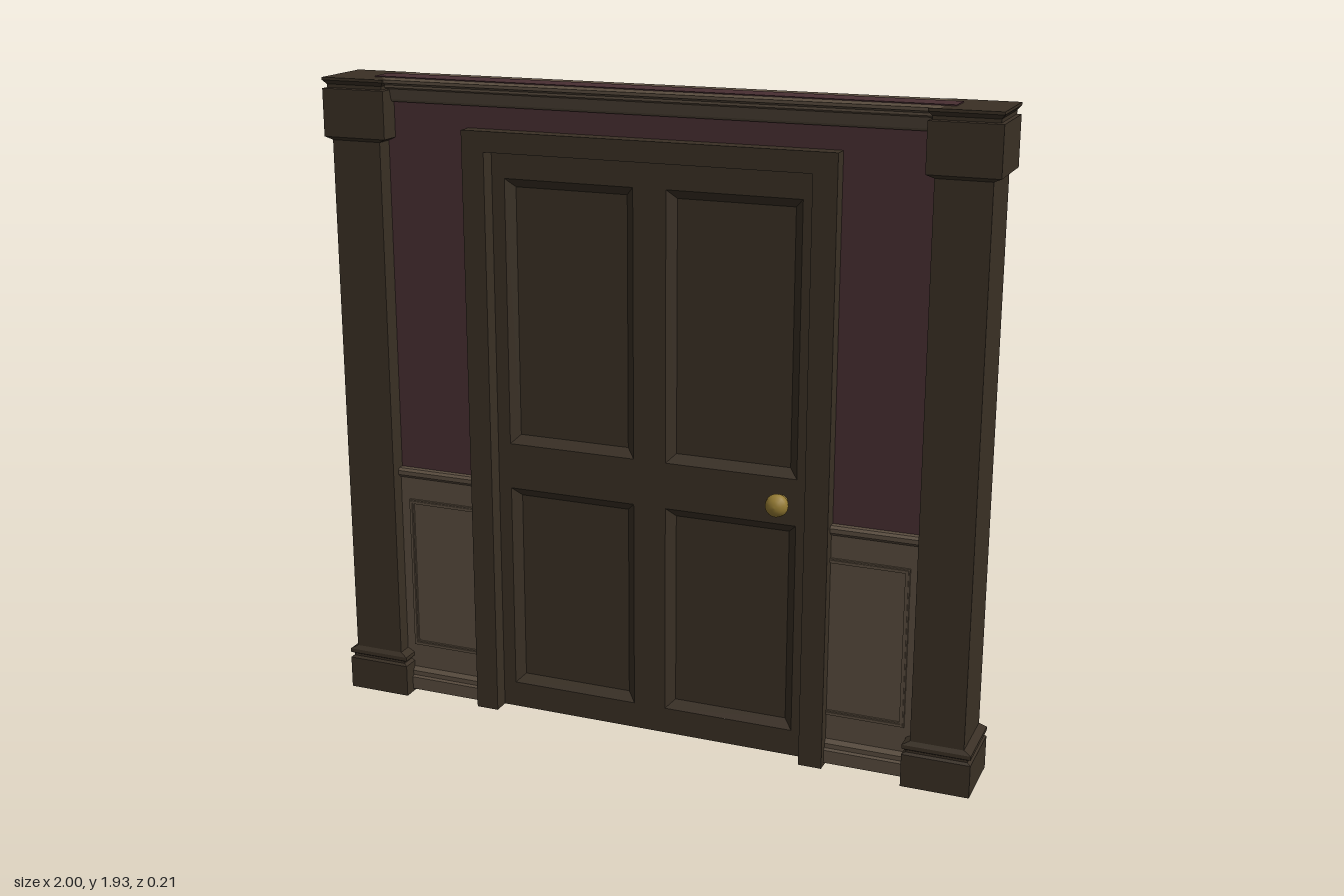
import * as THREE from 'three';

const mat = (color) => new THREE.MeshStandardMaterial({ color, flatShading: true });
const darkWood = mat(0x3a3025);
const paleWood = mat(0x5a4d3f);
const wallPaint = mat(0x482e32);
const brass = new THREE.MeshStandardMaterial({ color: 0x957b33 });

function add(parent, name, geometry, material, x = 0, y = 0, z = 0) {
  const mesh = new THREE.Mesh(geometry, material);
  mesh.name = name;
  mesh.position.set(x, y, z);
  parent.add(mesh);
  return mesh;
}

const toPoints = (pts) => pts.map(([x, y]) => new THREE.Vector2(x, y));
const rect = (x0, y0, x1, y1) => toPoints([[x0, y0], [x1, y0], [x1, y1], [x0, y1]]);

// Flat plate in XY, centred on z = 0, with optional holes
function plate(outline, thickness, holes = []) {
  const shape = new THREE.Shape(outline);
  holes.forEach((h) => shape.holes.push(new THREE.Path(h)));
  return new THREE.ExtrudeGeometry(shape, { depth: thickness, bevelEnabled: false })
    .translate(0, 0, -thickness / 2);
}

// Moulding: [z, y] profile run along x, centred on x = 0
function moulding(profile, length) {
  return plate(toPoints(profile), length).rotateY(-Math.PI / 2);
}

// Rectangular sections [height, half x, half z] joined along y.
// Rising rows face outward; falling rows make a recess.
function rectLoft(rows, bottomCap = true) {
  const pos = [];
  const ring = ([y, hx, hz]) => [[hx, y, hz], [hx, y, -hz], [-hx, y, -hz], [-hx, y, hz]];
  const quad = (a, b, c, d) => pos.push(...a, ...b, ...c, ...a, ...c, ...d);
  for (let r = 0; r < rows.length - 1; r++) {
    const a = ring(rows[r]), b = ring(rows[r + 1]);
    for (let i = 0; i < 4; i++) {
      const j = (i + 1) % 4;
      quad(a[i], a[j], b[j], b[i]);
    }
  }
  quad(...ring(rows[rows.length - 1]));
  if (bottomCap) quad(...ring(rows[0]).reverse());
  const geometry = new THREE.BufferGeometry();
  geometry.setAttribute('position', new THREE.Float32BufferAttribute(pos, 3));
  geometry.computeVertexNormals();
  return geometry;
}

export function createModel() {
  const model = new THREE.Group();
  model.name = 'doorwayWall';

  // Wall with the door opening cut out of its lower edge
  const opening = (w, h, ow, oh) => toPoints([
    [-w, 0], [-ow, 0], [-ow, oh], [ow, oh], [ow, 0], [w, 0], [w, h], [-w, h],
  ]);
  add(model, 'wall', plate(opening(0.86, 1.935, 0.52, 1.77), 0.08), wallPaint);

  // Door casing
  add(model, 'doorFrame', plate(opening(0.56, 1.8, 0.49, 1.74), 0.175), darkWood);

  // Door leaf with four panel openings
  const panels = [];
  for (const x of [-0.25, 0.25]) {
    panels.push({ x, y: 0.4, hx: 0.2, hy: 0.32 }, { x, y: 1.26, hx: 0.2, hy: 0.4 });
  }
  const doorZ = 0.037;
  const holes = panels.map((p) => rect(p.x - p.hx, p.y - p.hy, p.x + p.hx, p.y + p.hy));
  add(model, 'door', plate(rect(-0.495, 0, 0.495, 1.745), doorZ * 2, holes), darkWood);

  // Pillars: plinth, base moulding, shaft, capital and top slab
  const pillar = rectLoft([
    [0, 0.1, 0.103], [0.1, 0.1, 0.103], [0.107, 0.09, 0.097], [0.114, 0.09, 0.097],
    [0.118, 0.1, 0.103], [0.13, 0.1, 0.103], [0.142, 0.078, 0.095],
    [1.75, 0.078, 0.095], [1.76, 0.1, 0.105], [1.9, 0.1, 0.105],
    [1.902, 0.09, 0.095], [1.912, 0.09, 0.095], [1.924, 0.1, 0.105], [1.932, 0.1, 0.105],
  ]);
  for (const side of [-1, 1]) {
    add(model, side > 0 ? 'leftPillar' : 'rightPillar', pillar, darkWood, side * 0.9);
  }

  // Everything that repeats on both faces of the wall
  const face = new THREE.Group();
  face.name = 'frontTrim';
  for (const p of panels) {
    const recess = rectLoft([[doorZ, p.hx, p.hy], [doorZ - 0.022, p.hx - 0.026, p.hy - 0.026]], false);
    add(face, 'doorPanel', recess.rotateX(Math.PI / 2), darkWood, p.x, p.y);
  }
  add(face, 'cornice', moulding([
    [0.03, 1.865], [0.052, 1.865], [0.058, 1.872], [0.066, 1.903], [0.075, 1.908],
    [0.075, 1.915], [0.098, 1.923], [0.098, 1.932], [0.03, 1.932],
  ], 1.66), paleWood);

  for (const side of [-1, 1]) {
    const wainscot = new THREE.Group();
    wainscot.name = 'wainscot';
    wainscot.position.x = side * 0.685;
    face.add(wainscot);
    add(wainscot, 'wainscotBoard', new THREE.BoxGeometry(0.3, 0.72, 0.02), paleWood, 0, 0.37, 0.04);
    add(wainscot, 'baseboard', moulding([
      [0.03, 0.01], [0.066, 0.01], [0.066, 0.05], [0.06, 0.056], [0.06, 0.07],
      [0.05, 0.082], [0.03, 0.082],
    ], 0.3), paleWood);
    add(wainscot, 'chairRail', moulding([
      [0.03, 0.715], [0.054, 0.715], [0.066, 0.725], [0.066, 0.738], [0.058, 0.745], [0.03, 0.745],
    ], 0.3), paleWood);
    // Two-step border moulding running behind the door casing
    const x0 = -0.14, x1 = 0.108;
    const border = (inset, width, depth) => plate(
      rect(x0 + inset, 0.16 + inset, x1 - inset, 0.645 - inset), depth,
      [rect(x0 + inset + width, 0.16 + inset + width, x1 - inset - width, 0.645 - inset - width)]);
    for (const [inset, width, depth] of [[0, 0.014, 0.012], [0.004, 0.006, 0.018]]) {
      const trim = add(wainscot, 'panelBorder', border(inset, width, depth), paleWood, 0, 0, 0.05);
      trim.scale.x = side;
    }
  }
  const back = face.clone();
  back.name = 'backTrim';
  back.rotation.y = Math.PI;
  model.add(face, back);

  // Knobs on both faces, turned on one spindle
  const knob = new THREE.LatheGeometry(toPoints([
    [0.02, 0], [0.02, 0.006], [0.011, 0.008], [0.011, 0.016], [0.024, 0.02], [0.032, 0.03],
    [0.034, 0.04], [0.031, 0.053], [0.021, 0.063], [0.01, 0.067], [0, 0.068],
  ]), 20).rotateX(Math.PI / 2);
  add(model, 'frontKnob', knob, brass, 0.405, 0.79, doorZ);
  add(model, 'backKnob', knob, brass, 0.405, 0.79, -doorZ).rotation.y = Math.PI;

  return model;
}
